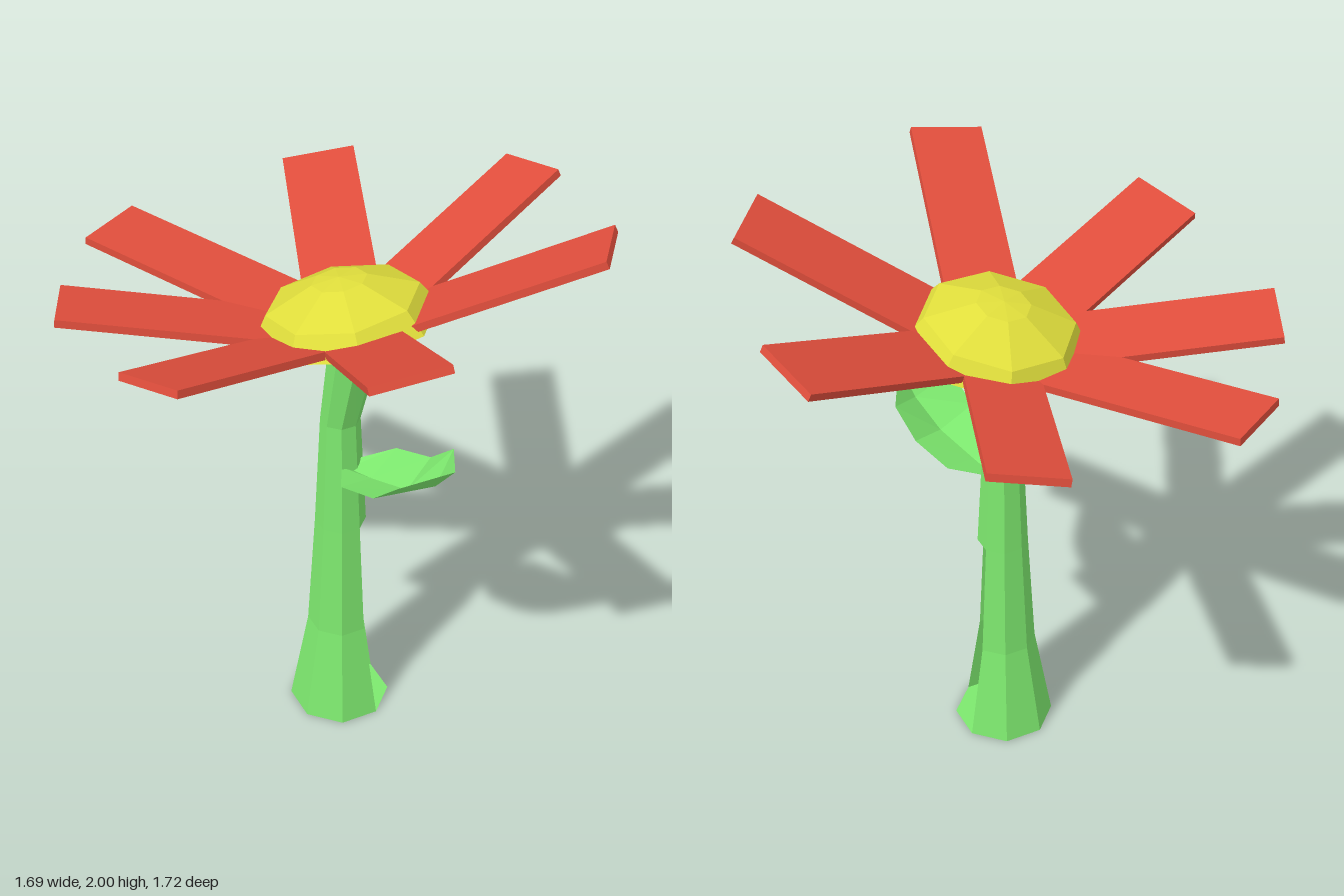
import * as THREE from 'three';

const mat = (color) => new THREE.MeshStandardMaterial({ color, flatShading: true, side: THREE.DoubleSide });
const green = mat(0x7de86e), red = mat(0xe04e3c), yellow = mat(0xe0de3c);

function addMesh(parent, name, geometry, material) {
  const mesh = new THREE.Mesh(geometry, material);
  mesh.name = name;
  parent.add(mesh);
  return mesh;
}

// Triangle soup from a list of points, three per face
function fromTriangles(points) {
  const g = new THREE.BufferGeometry().setFromPoints(points);
  g.computeVertexNormals();
  return g;
}
const quad = (out, a, b, c, d) => out.push(a, b, c, a, c, d);

// Eight-sided bent stem with an open gap low on its front left side
function stemGeometry() {
  const sides = 8, tris = [];
  // height, centre x, centre z, radius, slope of the ring towards the front
  const rings = [
    [0, -0.02, 0.07, 0.175, 0],
    [0.36, -0.02, 0.07, 0.112, 0],
    [0.8, -0.02, 0.07, 0.087, 0],
    [1.22, -0.02, 0.067, 0.067, 0],
    [1.53, -0.015, 0.125, 0.088, 0.18],
  ].map(([y, cx, cz, r, slope]) => Array.from({ length: sides }, (_, i) => {
    const a = (i / sides) * Math.PI * 2;
    return new THREE.Vector3(cx + r * Math.cos(a), y + slope * r * Math.sin(a), cz + r * Math.sin(a));
  }));
  for (let k = 0; k < rings.length - 1; k++) {
    for (let i = 0; i < sides; i++) {
      if (k < 2 && i < 2) continue; // the gap
      const j = (i + 1) % sides;
      quad(tris, rings[k][i], rings[k + 1][i], rings[k + 1][j], rings[k][j]);
    }
  }
  // Base cap
  for (let i = 1; i < sides - 1; i++) tris.push(rings[0][0], rings[0][i], rings[0][i + 1]);
  return fromTriangles(tris);
}

// Leaf folded along its midrib, curling up towards the tip
function leafGeometry() {
  const v = (x, y, z) => new THREE.Vector3(x, y, z);
  // middle x, half width, edge height, edge z, midrib height, midrib z
  const rows = [
    [-0.03, 0.03, 1.06, 0.11, 1.04, 0.11],
    [-0.04, 0.14, 1.1, 0.21, 1.06, 0.22],
    [-0.05, 0.145, 1.14, 0.36, 1.1, 0.38],
    [-0.055, 0.14, 1.23, 0.46, 1.18, 0.5],
    [-0.06, 0, 1.28, 0.58, 1.28, 0.58],
  ].map(([x, w, ye, ze, ym, zm]) => [v(x - w, ye, ze), v(x, ym, zm), v(x + w, ye, ze)]);
  const tris = [];
  for (let k = 0; k < rows.length - 1; k++) {
    for (let s = 0; s < 2; s++) quad(tris, rows[k][s], rows[k + 1][s], rows[k + 1][s + 1], rows[k][s + 1]);
  }
  return fromTriangles(tris);
}

export function createModel() {
  const flower = new THREE.Group();
  flower.name = 'flower';
  addMesh(flower, 'stem', stemGeometry(), green);
  addMesh(flower, 'leaf', leafGeometry(), green);

  // Flower head, leaning backwards
  const head = new THREE.Group();
  head.name = 'flowerHead';
  head.position.set(-0.018, 1.61, 0.09);
  head.rotation.set(-0.2, 0, 0.025);
  flower.add(head);

  // Domed centre
  const profile = [[0, -0.1], [0.1, -0.1], [0.3, 0], [0.25, 0.08], [0.09, 0.148], [0, 0.158]]
    .map(([r, h]) => new THREE.Vector2(r, h));
  addMesh(head, 'centre', new THREE.LatheGeometry(profile, 8), yellow).rotation.y = 0.09;

  // Seven flat petals rising outwards: x and z of each tip
  const tips = [
    [-0.127, -0.916], [0.613, -0.627], [0.835, 0.142], [0.423, 0.752],
    [-0.482, 0.712], [-0.832, 0], [-0.614, -0.64],
  ];
  const start = 0.19, rise = 0.29;
  tips.forEach(([x, z], i) => {
    const petal = new THREE.Group();
    petal.name = 'petal' + (i + 1);
    petal.rotation.y = Math.atan2(-z, x);
    head.add(petal);
    const length = (Math.hypot(x, z) - start) / Math.cos(rise);
    const blade = addMesh(petal, 'petalBlade', new THREE.BoxGeometry(length, 0.026, 0.25).translate(length / 2, 0, 0), red);
    blade.position.set(start, 0.01, 0);
    blade.rotation.z = rise;
  });
  return flower;
}
